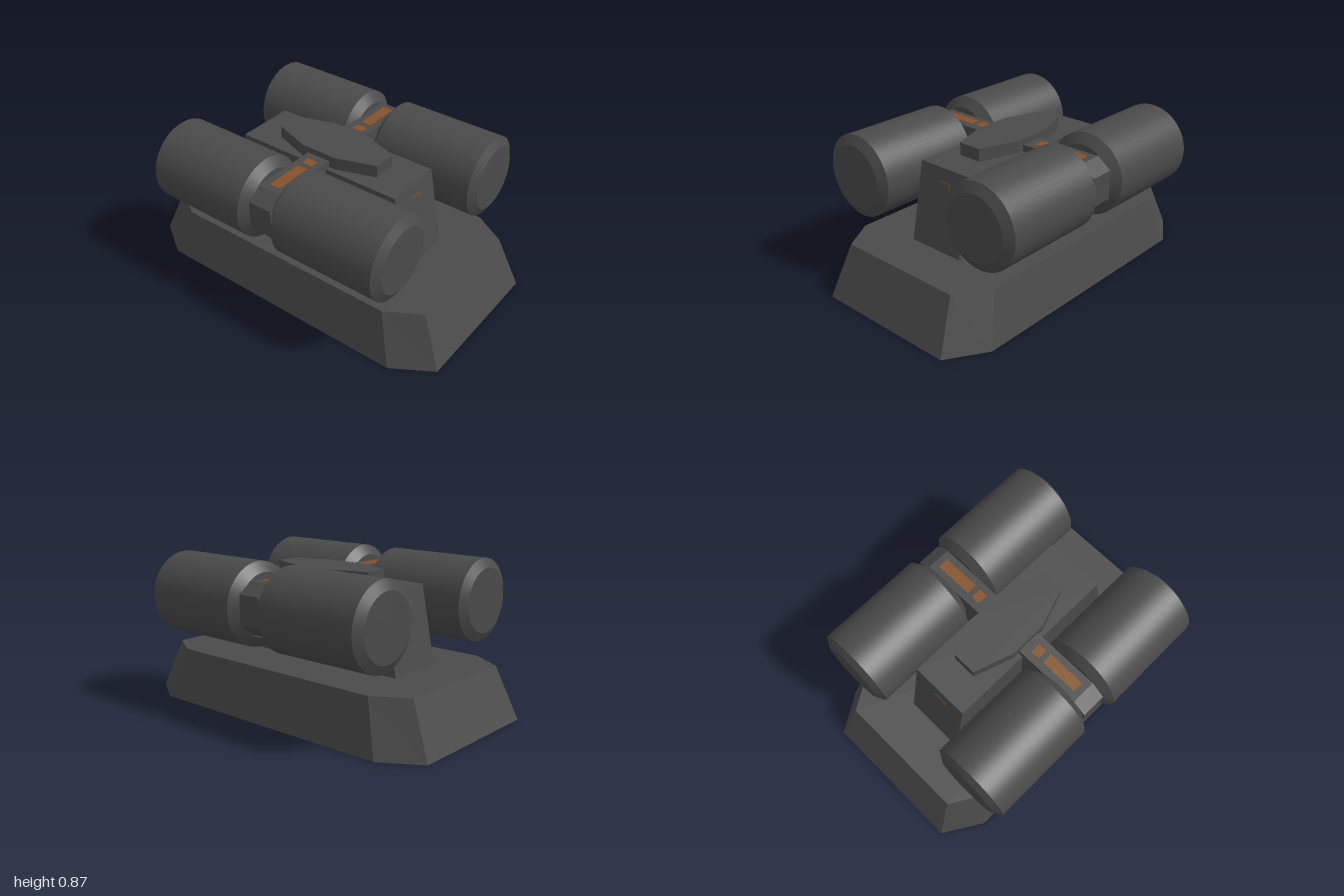
import * as THREE from 'three';
import { mergeGeometries } from 'three/addons/utils/BufferGeometryUtils.js';

// Outline loops as [x, z], running from +x towards +z
const rect = (x, z) => [[x, z], [-x, z], [-x, -z], [x, -z]];
const octagon = (x, z, cx, cz) => [
  [x, cz], [cx, z], [-cx, z], [-x, cz], [-x, -cz], [-cx, -z], [cx, -z], [x, -cz],
];

// Flat-faced solid between two outlines at heights y0 and y1
function loft(lower, y0, upper, y1, closeBottom = true) {
  const positions = [];
  const lo = lower.map(([x, z]) => [x, y0, z]);
  const up = upper.map(([x, z]) => [x, y1, z]);
  const n = lo.length;
  const tri = (a, b, c) => positions.push(...a, ...b, ...c);
  for (let i = 0; i < n; i++) {
    const j = (i + 1) % n;
    tri(lo[i], up[i], up[j]);
    tri(lo[i], up[j], lo[j]);
    if (i > 0 && i < n - 1) {
      tri(up[0], up[j], up[i]);
      if (closeBottom) tri(lo[0], lo[i], lo[j]);
    }
  }
  const geometry = new THREE.BufferGeometry();
  geometry.setAttribute('position', new THREE.Float32BufferAttribute(positions, 3));
  geometry.computeVertexNormals();
  return geometry;
}

// Drum along +x with a bevel at each end
function drumGeometry() {
  const section = (x0, r0, x1, r1) => {
    const g = new THREE.CylinderGeometry(r1, r0, x1 - x0, 56, 1, true);
    return g.rotateZ(-Math.PI / 2).translate((x0 + x1) / 2, 0, 0);
  };
  const cap = (x, r, turn) => new THREE.CircleGeometry(r, 56).rotateY(turn).translate(x, 0, 0);
  return mergeGeometries([
    cap(0.072, 0.18, -Math.PI / 2),
    section(0.072, 0.18, 0.115, 0.236),
    section(0.115, 0.236, 0.732, 0.236),
    section(0.732, 0.236, 0.762, 0.183),
    cap(0.762, 0.183, Math.PI / 2),
  ]);
}

// Arm reaching along +z with a bevelled nose
function armGeometry() {
  const profile = new THREE.Shape([
    [0.15, 0.49], [0.55, 0.49], [0.632, 0.555], [0.632, 0.72], [0.55, 0.78], [0.15, 0.78],
  ].map(([z, y]) => new THREE.Vector2(z, y)));
  return new THREE.ExtrudeGeometry(profile, { depth: 0.144, bevelEnabled: false })
    .rotateY(-Math.PI / 2).translate(0.072, 0, 0);
}

export function createModel() {
  const model = new THREE.Group();
  model.name = 'twinDrumTurret';

  const darkGrey = new THREE.MeshStandardMaterial({ color: 0x4a4a4a });
  darkGrey.name = 'dark grey';
  const shellGrey = darkGrey;
  shellGrey.side = THREE.DoubleSide;
  const orange = new THREE.MeshStandardMaterial({ color: 0x84522a });
  orange.name = 'burnt orange';

  const add = (parent, name, geometry, material = darkGrey) => {
    const mesh = new THREE.Mesh(geometry, material);
    mesh.name = name;
    parent.add(mesh);
    return mesh;
  };

  // Hollow sloping base, open underneath
  add(model, 'base', loft(
    octagon(1, 0.57, 0.78, 0.432), 0,
    octagon(0.875, 0.5, 0.685, 0.385), 0.295, false));

  // Central block with sloping ends, and its faceted top plate
  add(model, 'body', loft(rect(0.61, 0.175), 0.292, rect(0.52, 0.175), 0.74));
  add(model, 'topPlate', loft(
    octagon(0.335, 0.147, 0.11, 0.07), 0.735,
    octagon(0.335, 0.147, 0.11, 0.07), 0.812));

  // Front and back arms, each carrying a pair of drums
  const arm = armGeometry();
  const drum = drumGeometry();
  for (const [label, turn] of [['front', 0], ['back', Math.PI]]) {
    const side = new THREE.Group();
    side.name = label + 'Assembly';
    side.rotation.y = turn;
    model.add(side);
    add(side, label + 'Arm', arm);
    for (const dir of [0, Math.PI]) {
      const mesh = add(side, label + 'Drum', drum);
      mesh.position.set(0, 0.635, 0.447);
      mesh.rotation.y = dir;
    }
    // Painted stripes on top of the arm
    for (const [z0, z1] of [[0.2, 0.252], [0.285, 0.512]]) {
      add(side, label + 'Stripe', new THREE.BoxGeometry(0.064, 0.006, z1 - z0), orange)
        .position.set(0, 0.78, (z0 + z1) / 2);
    }
  }

  // Small painted corner mark on each sloping end
  const slope = Math.atan2(0.09, 0.448);
  for (const turn of [0, Math.PI]) {
    const mark = new THREE.Group();
    mark.name = 'endMark';
    mark.rotation.y = turn;
    model.add(mark);
    for (const [y, z, h, d] of [[0.668, -0.01, 0.006, 0.08], [0.65, -0.047, 0.03, 0.006]]) {
      const strip = add(mark, 'endMarkStrip', new THREE.BoxGeometry(0.004, h, d), orange);
      strip.position.set(0.61 - 0.09 * (y - 0.292) / 0.448, y, z);
      strip.rotation.z = slope;
    }
  }
  return model;
}
